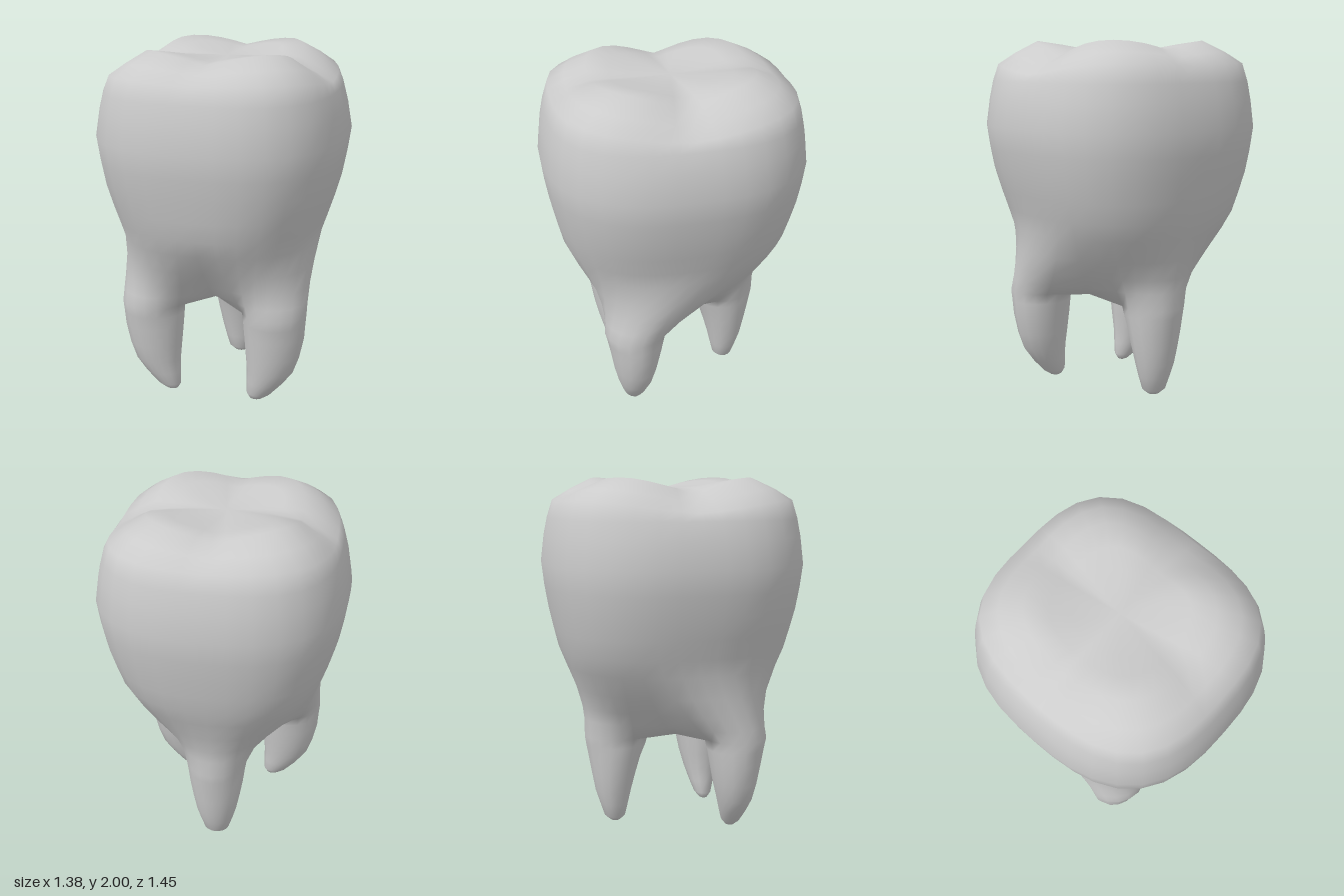
import * as THREE from 'three';
import { mergeVertices } from 'three/addons/utils/BufferGeometryUtils.js';

const SIDES = 16; // points round a root
const OUTER = 11; // of these, the first ones continue into the crown wall
const points = [], index = [];

// Adds a skin over closed rings of points, listed from bottom to top
function addLoft(rings) {
  const start = points.length, n = rings[0].length;
  points.push(...rings.flat());
  for (let i = 0; i < rings.length - 1; i++) {
    for (let j = 0; j < n; j++) {
      const a = start + i * n + j, b = start + i * n + (j + 1) % n;
      index.push(a, a + n, b, b, a + n, b + n);
    }
  }
}

// Point of a rounded-square outline in direction t
function outline(t, hx, hz, p) {
  const c = Math.cos(t), s = Math.sin(t);
  const r = 1 / Math.pow(Math.pow(Math.abs(c / hx), p) + Math.pow(Math.abs(s / hz), p), 1 / p);
  return [r * c, r * s];
}

// Root sections: height, centre x, centre z, half width, half depth.
// Returns the top ring; its points from OUTER on face the other roots.
function addRoot(sections, firstAngle) {
  const rings = sections.map(([y, cx, cz, hx, hz]) => Array.from({ length: SIDES }, (_, j) => {
    const t = THREE.MathUtils.degToRad(firstAngle + j * 360 / SIDES);
    const [x, z] = outline(t, hx, hz, 1.9);
    return new THREE.Vector3(cx + x, y, cz + z);
  }));
  addLoft(rings);
  return rings[rings.length - 1];
}

function addRoots() {
  const front = [[0, 0.25, 0.29, 1e-9, 1e-9], [0.012, 0.255, 0.29, 0.035, 0.025],
    [0.045, 0.27, 0.29, 0.07, 0.052], [0.12, 0.305, 0.29, 0.105, 0.077],
    [0.2, 0.335, 0.29, 0.135, 0.1], [0.3, 0.348, 0.288, 0.157, 0.125],
    [0.42, 0.355, 0.286, 0.175, 0.147], [0.5, 0.355, 0.285, 0.18, 0.163],
    [0.56, 0.355, 0.285, 0.185, 0.177]];
  const back = [[0, 0, -0.335, 1e-9, 1e-9], [0.012, 0, -0.335, 0.035, 0.03],
    [0.04, 0, -0.337, 0.072, 0.06], [0.12, 0, -0.341, 0.098, 0.083],
    [0.2, 0, -0.345, 0.12, 0.105], [0.3, 0, -0.341, 0.14, 0.128],
    [0.4, 0, -0.335, 0.157, 0.152], [0.48, 0, -0.325, 0.167, 0.177],
    [0.53, 0, -0.322, 0.175, 0.188]];
  const mirrored = front.map(([y, x, ...rest]) => [y, -x, ...rest]);
  return [addRoot(front, -67.5), addRoot(mirrored, 22.5), addRoot(back, 157.5)];
}

// Crown wall and chewing surface, growing from the loop round all roots
function addCrown(base) {
  const n = base.length;
  const angles = base.map((_, j) => (j - OUTER) / n * 2 * Math.PI + Math.PI / 2);
  // Grooves between the roots fade out sooner than the ridges above them
  const fade = base.map((_, j) => {
    const k = (j + 1) % (OUTER + 1);
    return Math.min(1, 0.6 + 0.13 * Math.min(k, OUTER + 1 - k));
  });

  // Wall: height, half width, half depth, squareness, blend from loop to outline
  const wall = [[0.63, 0.54, 0.51, 2.4, 0.14], [0.71, 0.542, 0.54, 2.4, 0.34],
    [0.82, 0.548, 0.575, 2.45, 0.63], [0.95, 0.557, 0.61, 2.5, 0.9],
    [1.05, 0.582, 0.638, 2.55, 1], [1.16, 0.617, 0.664, 2.6, 1], [1.28, 0.65, 0.69, 2.65, 1],
    [1.4, 0.672, 0.71, 2.65, 1], [1.53, 0.69, 0.725, 2.65, 1], [1.68, 0.662, 0.705, 2.75, 1],
    [1.78, 0.633, 0.682, 2.9, 1]];
  const rings = [base, ...wall.map(([y, hx, hz, p, blend]) => base.map((b, j) => {
    const [x, z] = outline(angles[j], hx, hz, p);
    const w = Math.pow(blend, fade[j]);
    return new THREE.Vector3(b.x + (x - b.x) * w, y, b.z + (z - b.z) * w);
  }))];

  // Chewing surface: scale, height, rise to the four cusps, dip to the sides
  const top = [[1, 1.87, 0.012, 0.05], [0.86, 1.915, 0.03, 0.05], [0.68, 1.95, 0.056, 0.035],
    [0.5, 1.95, 0.036, 0.018], [0.34, 1.948, 0.016, 0.006], [0.17, 1.946, 0.004, 0],
    [1e-9, 1.945, 0, 0]];
  for (const [s, y, cusp, dip] of top) {
    rings.push(angles.map(t => {
      const [x, z] = outline(t, 0.6 * s, 0.65 * s, 3);
      const rise = cusp * Math.abs(Math.sin(2 * t)) - dip * Math.pow(Math.cos(t), 6);
      return new THREE.Vector3(x, y + rise, z);
    }));
  }
  addLoft(rings);
}

export function createModel() {
  points.length = index.length = 0;
  const roots = addRoots();

  // Arches between neighbouring roots: front, right, left
  const arches = [[0, 0.59, 0.22], [-0.23, 0.565, -0.03], [0.23, 0.565, -0.03]]
    .map(p => new THREE.Vector3(...p));
  addCrown(roots.flatMap((ring, i) => [...ring.slice(0, OUTER), arches[i]]));

  // Underside between the roots
  const rim = roots.flatMap((ring, i) =>
    [ring[0], ...ring.slice(OUTER).reverse(), ring[OUTER - 1], arches[i]]);
  addLoft([rim.map(() => new THREE.Vector3(0, 0.575, 0.02)), rim]);

  // One seamless smooth skin
  let geometry = new THREE.BufferGeometry().setFromPoints(points);
  geometry.setIndex(index);
  geometry = mergeVertices(geometry, 1e-5);
  geometry.computeVertexNormals();
  const tooth = new THREE.Mesh(geometry, new THREE.MeshStandardMaterial({ color: 0xcccccc }));
  tooth.name = 'crownAndRoots';

  const group = new THREE.Group();
  group.name = 'molarTooth';
  group.add(tooth);
  return group;
}
